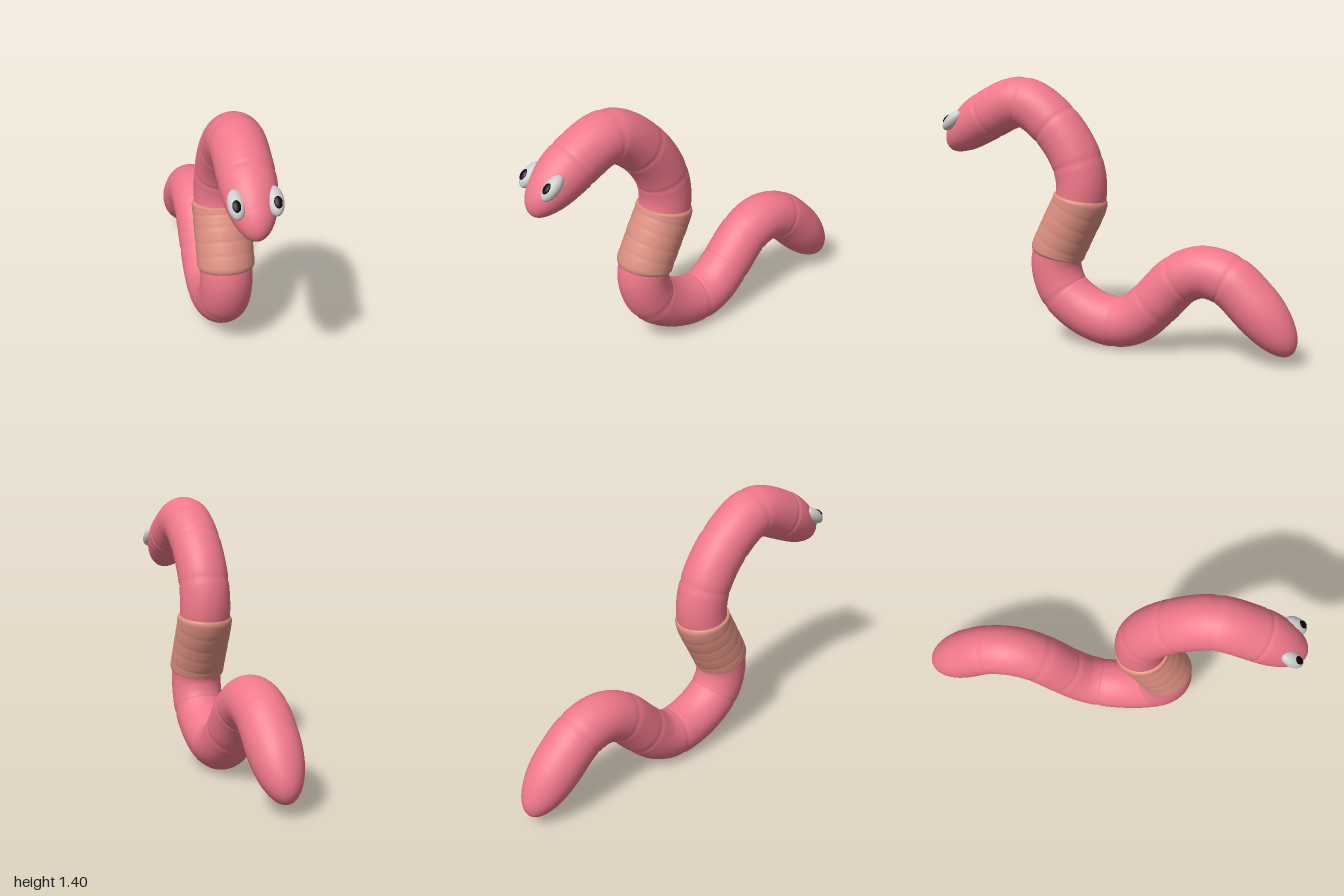
import * as THREE from 'three';

const BODY_RADIUS = 0.133;

// Centre line from snout to tail as [z, y]; a third value marks a ring groove
const SPINE = [
  [0.98, 1.01], [0.90, 1.083], [0.74, 1.195, 1], [0.53, 1.27, 1], [0.34, 1.155, 1],
  [0.21, 0.96, 1], [0.19, 0.79], [0.265, 0.62], [0.333, 0.47], [0.334, 0.38],
  [0.285, 0.27, 1], [0.14, 0.17], [-0.015, 0.138, 1], [-0.125, 0.17], [-0.23, 0.26, 1],
  [-0.37, 0.40, 1], [-0.495, 0.447], [-0.63, 0.415, 1], [-0.765, 0.30], [-0.89, 0.16], [-0.96, 0.07],
];
const toPoint = ([z, y]) => new THREE.Vector3(0, y, z);

// Sweeps a round section along part of the spine; radius is a function of (u, point)
function sweep(curve, u0, u1, steps, sides, radius) {
  const positions = [], index = [];
  const xAxis = new THREE.Vector3(1, 0, 0), up = new THREE.Vector3();
  for (let i = 0; i <= steps; i++) {
    const f = i / steps;
    // samples crowd towards both ends so the tips stay round
    const u = u0 + (u1 - u0) * (f - 0.98 * Math.sin(2 * Math.PI * f) / (2 * Math.PI));
    const p = curve.getPointAt(u);
    up.crossVectors(curve.getTangentAt(u), xAxis);
    const r = radius(u, p);
    for (let j = 0; j < sides; j++) {
      const a = (j / sides) * Math.PI * 2;
      positions.push(r * Math.cos(a), p.y + r * Math.sin(a) * up.y, p.z + r * Math.sin(a) * up.z);
      if (i < steps) {
        const k = (j + 1) % sides, row = i * sides, next = row + sides;
        index.push(row + j, row + k, next + j, row + k, next + k, next + j);
      }
    }
  }
  const geometry = new THREE.BufferGeometry();
  geometry.setAttribute('position', new THREE.Float32BufferAttribute(positions, 3));
  geometry.setIndex(index);
  geometry.computeVertexNormals();
  return geometry;
}

// Position along the curve closest to a point
function nearestU(curve, target) {
  let best = 0, bestDistance = Infinity;
  for (let i = 0; i <= 1000; i++) {
    const d = curve.getPointAt(i / 1000).distanceTo(target);
    if (d < bestDistance) { bestDistance = d; best = i / 1000; }
  }
  return best;
}

const groove = (d, depth) => depth * Math.exp(-((d / 0.01) ** 2));

export function createModel() {
  const model = new THREE.Group();
  model.name = 'worm';
  const material = (color) => new THREE.MeshStandardMaterial({ color });
  const add = (parent, name, geometry, mat) => {
    const mesh = new THREE.Mesh(geometry, mat);
    mesh.name = name;
    parent.add(mesh);
    return mesh;
  };

  const curve = new THREE.CatmullRomCurve3(SPINE.map(toPoint));
  curve.arcLengthDivisions = 1000;
  const length = curve.getLength();
  const rings = SPINE.filter((s) => s[2]).map(toPoint);

  // Body: tapered round ends and shallow ring grooves
  const taper = 0.32;
  const bodyRadius = (u, p) => {
    const s = Math.min(u, 1 - u) * length;
    const t = 1 - Math.min(s / taper, 1);
    let r = BODY_RADIUS * Math.sqrt(Math.max(0, 1 - t * t));
    for (const ring of rings) r -= groove(p.distanceTo(ring), 0.004);
    return Math.max(r, 0);
  };
  add(model, 'body', sweep(curve, 0, 1, 420, 40, bodyRadius), material(0xf0788a));

  // Saddle band: a slightly thicker sleeve with rounded rims
  const u0 = nearestU(curve, toPoint([0.19, 0.79]));
  const u1 = nearestU(curve, toPoint([0.333, 0.47]));
  const rim = 0.02;
  const bandRadius = (u) => {
    const f = (u - u0) / (u1 - u0);
    const t = 1 - Math.min(Math.max(Math.min(u - u0, u1 - u) * length / rim, 0), 1);
    let r = 0.124 + 0.021 * Math.sqrt(Math.max(0, 1 - t * t));
    for (let k = 1; k < 5; k++) r -= groove((f - k / 5) * (u1 - u0) * length, 0.0015);
    return r;
  };
  add(model, 'saddleBand', sweep(curve, u0, u1, 90, 40, bandRadius), material(0xdc8f80));

  // Eyes: long ovals lying along the head, each with a flat pupil on the upper front
  const sphere = new THREE.SphereGeometry(1, 32, 20);
  const white = material(0xcccccc), black = material(0x050505);
  for (const side of [1, -1]) {
    const eye = new THREE.Group();
    eye.name = side > 0 ? 'leftEye' : 'rightEye';
    eye.position.set(side * 0.087, 1.165, 0.914);
    eye.rotation.x = 0.7;
    add(eye, 'eyeball', sphere, white).scale.set(0.04, 0.035, 0.072);
    const pupil = add(eye, 'pupil', sphere, black);
    pupil.scale.set(0.019, 0.009, 0.028);
    pupil.position.set(side * 0.005, 0.03, 0.019);
    pupil.rotation.x = 0.12;
    model.add(eye);
  }
  return model;
}
